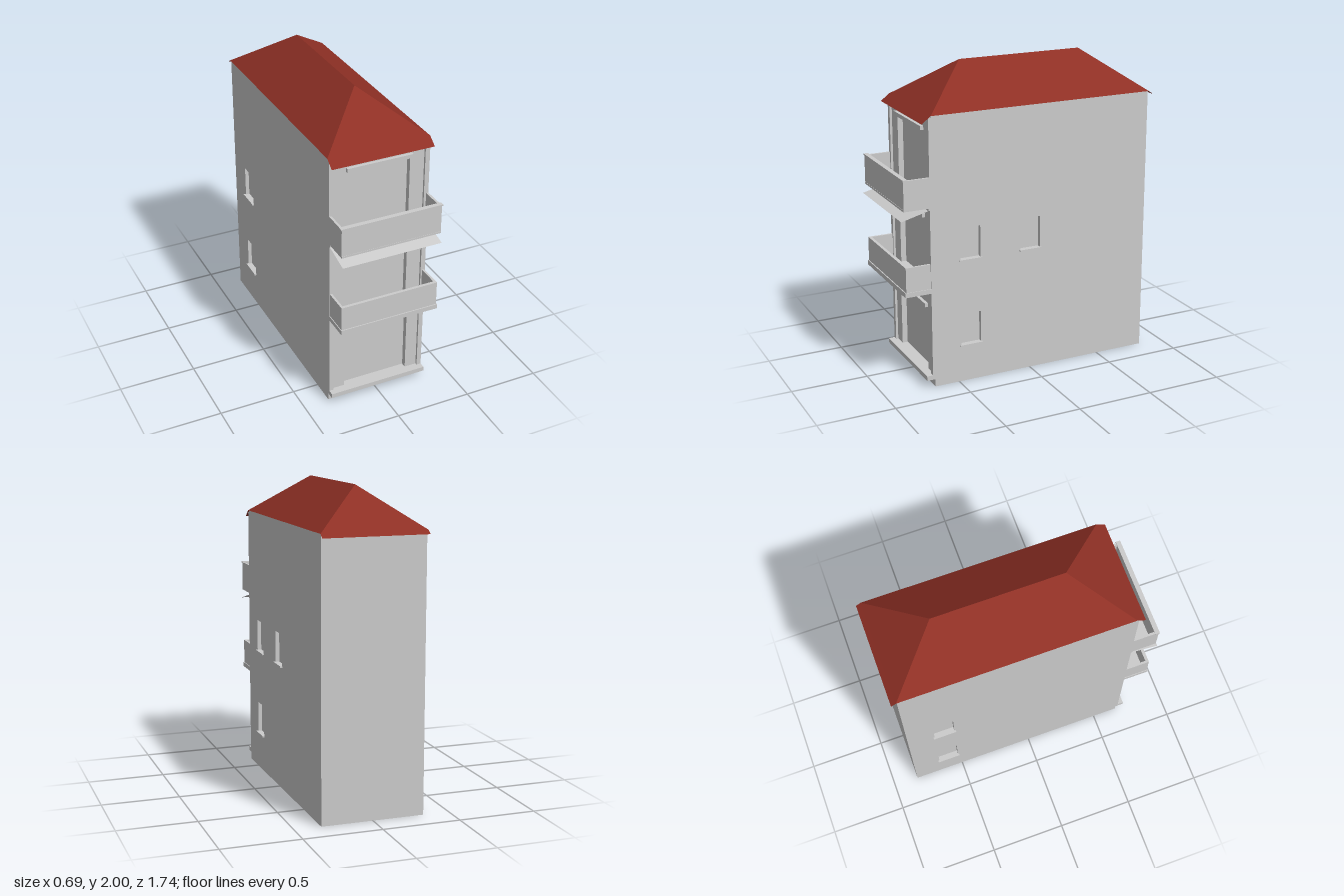
import * as THREE from 'three';

const grey = new THREE.MeshStandardMaterial({ color: 0xcccccc, flatShading: true, side: THREE.DoubleSide });
const red = new THREE.MeshStandardMaterial({ color: 0x8f3025, flatShading: true, side: THREE.DoubleSide });

const W = 0.33, FRONT = 0.665, BACK = -0.835, EAVE = 1.75;

function add(parent, name, geometry, material = grey) {
  const mesh = new THREE.Mesh(geometry, material);
  mesh.name = name;
  parent.add(mesh);
  return mesh;
}

// Box given by its limits on each axis
function block(parent, name, x0, x1, y0, y1, z0, z1) {
  const mesh = add(parent, name, new THREE.BoxGeometry(x1 - x0, y1 - y0, z1 - z0));
  mesh.position.set((x0 + x1) / 2, (y0 + y1) / 2, (z0 + z1) / 2);
  return mesh;
}

// Flat four- or three-cornered faces
function facets(faces) {
  const pos = [];
  for (const f of faces)
    for (let i = 1; i < f.length - 1; i++) pos.push(...f[0], ...f[i], ...f[i + 1]);
  const g = new THREE.BufferGeometry();
  g.setAttribute('position', new THREE.Float32BufferAttribute(pos, 3));
  g.computeVertexNormals();
  return g;
}

// Thin wall facing +z with recessed openings [x0, x1, y0, y1]
function wall(name, x0, x1, openings, depth) {
  const group = new THREE.Group();
  group.name = name;
  const rect = (C, a, b, c, d) =>
    new C([[a, c], [b, c], [b, d], [a, d]].map(p => new THREE.Vector2(...p)));
  const shape = rect(THREE.Shape, x0, x1, 0, EAVE);
  for (const [a, b, c, d] of openings) {
    shape.holes.push(rect(THREE.Path, a, b, c, d));
    const recess = block(group, 'recess', a, b, c, d, -depth, 0);
    const index = Array.from(recess.geometry.index.array);
    index.splice(24, 6); // leave the outer face open
    recess.geometry.setIndex(index);
    recess.geometry.clearGroups();
  }
  add(group, 'wallSurface', new THREE.ShapeGeometry(shape));
  return group;
}

// Side wall with windows given as [centre z, sill height]
function sideWall(name, side, windows) {
  const holes = windows.map(([z, y]) => [-side * z - 0.068, -side * z + 0.068, y, y + 0.205]);
  const ends = [-side * FRONT, -side * BACK].sort((a, b) => a - b);
  const group = wall(name, ends[0], ends[1], holes, 0.025);
  for (const [a, b, y] of holes) block(group, 'windowSill', a - 0.008, b + 0.008, y - 0.01, y, -0.025, 0.014);
  group.position.x = side * W;
  group.rotation.y = side * Math.PI / 2;
  return group;
}

// Open-topped balcony tray
function balcony(name, y0, y1, floor, half, front, thick) {
  const group = new THREE.Group();
  group.name = name;
  block(group, 'balconyFloor', -W, W, y0, y0 + floor, FRONT, 0.85);
  block(group, 'frontParapet', -half, half, y0 + floor, y1, front - thick, front);
  for (const s of [-1, 1]) {
    const x = s * (half - 0.0075);
    block(group, 'sideParapet', x - 0.0075, x + 0.0075, y0 + floor, y1, FRONT, front - thick);
  }
  return group;
}

export function createModel() {
  const model = new THREE.Group();
  model.name = 'townhouse';

  // Walls, open underneath
  model.add(sideWall('rightHandWall', 1, [[0.415, 0.25], [0.415, 0.82], [0, 0.82]]));
  model.add(sideWall('leftHandWall', -1, [[-0.59, 0.25], [-0.59, 0.82]]));
  const back = wall('backWall', -W, W, [], 0);
  back.position.z = BACK;
  back.rotation.y = Math.PI;
  model.add(back);

  // Front wall with three doors and their lintels
  const doors = [[0.22, 0.08, 0.505], [0.205, 0.66, 1.09], [0.205, 1.2, 1.64]];
  const facade = wall('facade', -W, W, doors.map(([w, a, b]) => [-w, w, a, b]), 0.035);
  facade.position.z = FRONT;
  model.add(facade);
  for (const [w, , top] of doors)
    block(model, 'doorLintel', -w - 0.012, w + 0.012, top, top + 0.025, FRONT, 0.686);

  // Corner pilasters and entrance step
  for (const s of [-1, 1])
    block(model, 'pilaster', Math.min(s * 0.3, s * W), Math.max(s * 0.3, s * W), 0.08, 1.738, FRONT, 0.68);
  block(model, 'entranceStep', -W, W, 0.05, 0.08, FRONT, 0.72);

  // Balconies
  model.add(balcony('lowerBalcony', 0.63, 0.82, 0.03, 0.325, 0.843, 0.02));
  const upper = balcony('upperBalcony', 1.18, 1.372, 0.012, W, 0.848, 0.024);
  block(upper, 'parapetCap', -0.336, 0.336, 1.37, 1.378, 0.822, 0.852);
  model.add(upper);

  // Sloping awning under the upper balcony
  block(model, 'awningBatten', -W, W, 1.165, 1.18, FRONT, 0.69);
  add(model, 'awning', facets([[[-W, 1.12, 0.866], [W, 1.12, 0.866], [W, 1.168, 0.68], [-W, 1.168, 0.68]]]));

  // Hipped roof with eaves flaps front and back
  const R = 0.335, a = [0, 2, 0.33], b = [0, 2, -0.505];
  const fl = [-R, EAVE, FRONT], fr = [R, EAVE, FRONT], bl = [-R, EAVE, -0.84], br = [R, EAVE, -0.84];
  add(model, 'roof', facets([
    [fl, fr, a], [br, bl, b], [fr, br, b, a], [bl, fl, a, b],
    [[-R, 1.706, 0.724], [R, 1.706, 0.724], fr, fl],
    [[R, 1.727, -0.872], [-R, 1.727, -0.872], bl, br],
  ]), red);

  return model;
}
